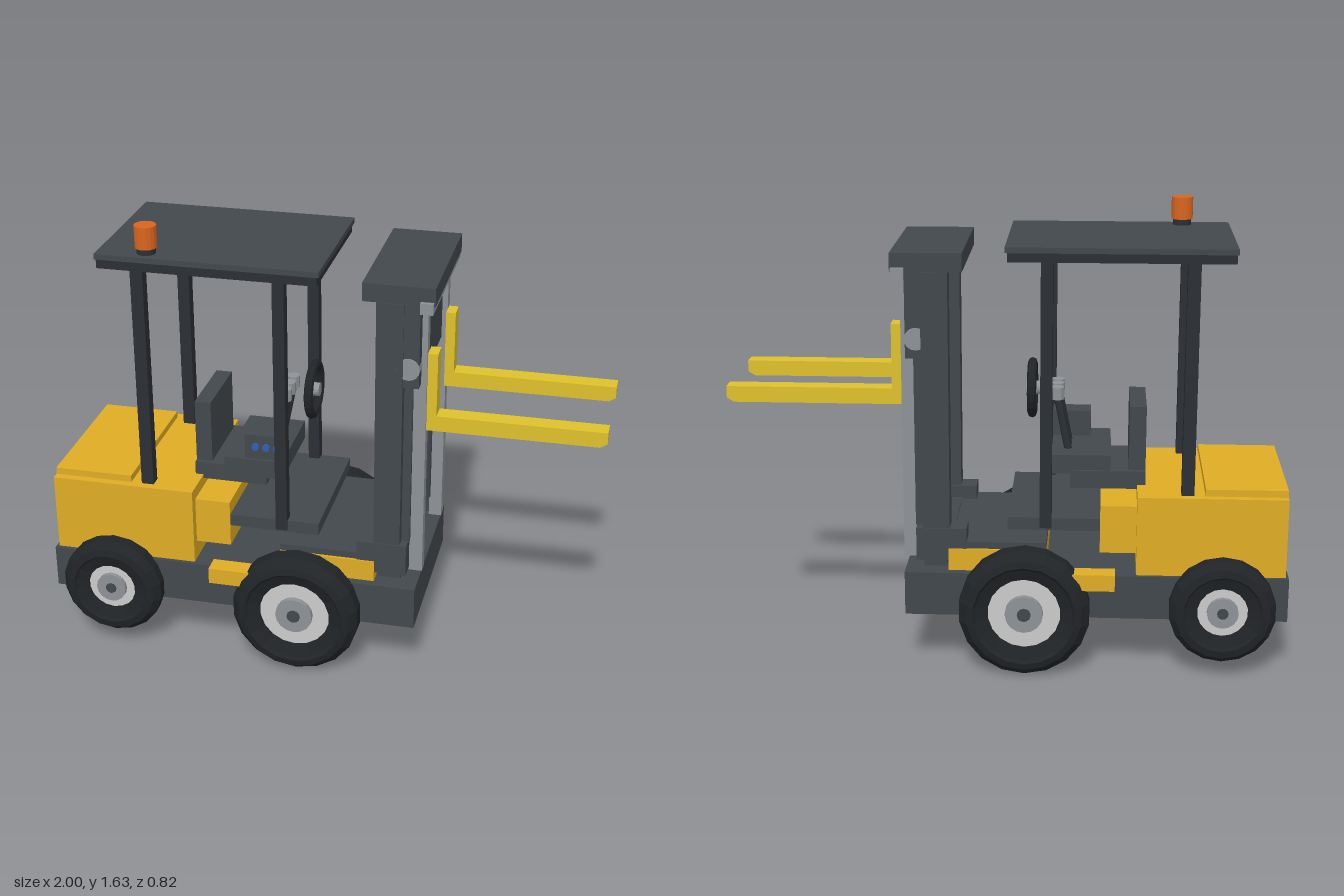
import * as THREE from 'three';

const mat = (color) => new THREE.MeshStandardMaterial({ color, flatShading: true });
const YELLOW = mat(0xdfac24), FORK = mat(0xdfc12c), DARK = mat(0x42484c), FRAME = mat(0x2b2f33);
const RUBBER = mat(0x212427), STEEL = mat(0x8e9397), WHITE = mat(0xffffff);
const ORANGE = mat(0xd9651f), BLUE = mat(0x2f5fb0);

export function createModel() {
  const model = new THREE.Group();
  model.name = 'forklift';

  const add = (name, geometry, material, x = 0, y = 0, z = 0, parent = model) => {
    const mesh = new THREE.Mesh(geometry, material);
    mesh.name = name;
    mesh.position.set(x, y, z);
    parent.add(mesh);
    return mesh;
  };
  // Box given by its limits on each axis
  const box = (name, m, x0, x1, y0, y1, z0, z1) =>
    add(name, new THREE.BoxGeometry(x1 - x0, y1 - y0, z1 - z0), m,
      (x0 + x1) / 2, (y0 + y1) / 2, (z0 + z1) / 2);
  // The same box on both sides
  const pair = (name, m, x0, x1, y0, y1, z0, z1) => {
    box(name + 'Near', m, x0, x1, y0, y1, z0, z1);
    box(name + 'Far', m, x0, x1, y0, y1, -z1, -z0);
  };
  const cyl = (r, h, n = 16) => new THREE.CylinderGeometry(r, r, h, n);
  const cylZ = (r, h, n = 16) => cyl(r, h, n).rotateX(Math.PI / 2);

  // Chassis and bodywork
  box('chassis', DARK, -1, 0.365, 0.2, 0.36, -0.32, 0.32);
  box('counterweight', YELLOW, -0.99, -0.46, 0.36, 0.65, -0.305, 0.305);
  box('engineCover', YELLOW, -0.99, -0.7, 0.65, 0.675, -0.275, 0.275);
  box('seatPedestal', YELLOW, -0.46, -0.33, 0.43, 0.605, -0.27, 0.27);
  box('floorPlate', DARK, -0.33, 0, 0.51, 0.555, -0.265, 0.265);
  box('frontBody', YELLOW, -0.14, 0.21, 0.36, 0.44, -0.29, 0.29);
  box('frontDeck', DARK, -0.14, 0.22, 0.44, 0.465, -0.28, 0.28);
  pair('step', YELLOW, -0.385, -0.235, 0.325, 0.385, 0.31, 0.38);

  // Wheels: chamfered tyre, pale rim disc, steel hub and dark axle cap
  const wheel = (name, x, y, R, rim, hub, z, width, side) => {
    const g = new THREE.Group();
    g.name = name;
    g.position.set(x, y, z * side);
    if (side < 0) g.rotation.y = Math.PI;
    model.add(g);
    const w = width / 2, mid = (R + rim) / 2;
    const profile = [[rim, -w * 0.6], [mid, -w], [R * 0.88, -w * 0.9], [R, -w * 0.4], [R, w * 0.4],
      [R * 0.88, w * 0.9], [mid, w], [mid * 0.95, w * 0.85], [rim, w * 0.6], [rim, -w * 0.6]]
      .map(([r, t]) => new THREE.Vector2(r, t));
    add('tyre', new THREE.LatheGeometry(profile, 18).rotateX(Math.PI / 2), RUBBER, 0, 0, 0, g);
    add('rimDisc', cylZ(rim * 1.02, w * 0.9, 18), WHITE, 0, 0, 0, g);
    add('hub', cylZ(hub, w * 1.5), STEEL, 0, 0, 0, g);
    add('axleCap', cylZ(hub * 0.36, w * 1.65, 12), DARK, 0, 0, 0, g);
  };
  for (const s of [1, -1]) {
    wheel('frontWheel', -0.065, 0.235, 0.235, 0.13, 0.068, 0.343, 0.135, s);
    wheel('rearWheel', -0.767, 0.248, 0.19, 0.09, 0.056, 0.335, 0.11, s);
  }

  // Seat with side console
  box('seatBase', DARK, -0.49, -0.22, 0.635, 0.7, -0.16, 0.16);
  box('backrest', DARK, -0.49, -0.43, 0.7, 0.935, -0.14, 0.14);
  box('controlShelf', DARK, -0.365, -0.15, 0.685, 0.755, -0.15, 0.2);
  box('sideConsole', DARK, -0.29, -0.15, 0.755, 0.85, 0.1, 0.19);
  for (let i = 0; i < 3; i++) add('button', cylZ(0.014, 0.012, 10), BLUE, -0.25 + i * 0.04, 0.805, 0.193);

  // Control levers
  for (const z of [-0.06, 0, 0.06]) {
    add('lever', cyl(0.014, 0.2, 8), FRAME, -0.19, 0.85, z).rotation.z = -0.2;
    add('leverKnob', cyl(0.024, 0.045, 10), STEEL, -0.17, 0.962, z);
  }

  // Steering wheel
  add('steeringWheel', new THREE.TorusGeometry(0.093, 0.017, 8, 24).rotateY(Math.PI / 2), RUBBER, -0.077, 0.965, 0);
  add('steeringHub', cyl(0.025, 0.05).rotateZ(Math.PI / 2), STEEL, -0.08, 0.965, 0);

  // Overhead guard and beacon
  pair('rearPost', FRAME, -0.66, -0.615, 0.65, 1.48, 0.232, 0.275);
  pair('frontPost', FRAME, -0.157, -0.115, 0.52, 1.48, 0.232, 0.275);
  box('roof', FRAME, -0.78, 0, 1.477, 1.51, -0.275, 0.275);
  box('roofPanel', DARK, -0.785, 0.008, 1.51, 1.53, -0.285, 0.28);
  add('beaconBase', cyl(0.033, 0.025), FRAME, -0.612, 1.54, 0.228);
  add('beacon', cyl(0.039, 0.08), ORANGE, -0.612, 1.592, 0.228);

  // Mast
  pair('mastFoot', DARK, 0.145, 0.325, 0.395, 0.515, 0.2, 0.285);
  pair('mastMount', DARK, 0.22, 0.3, 0.36, 0.395, 0.165, 0.25);
  box('lowerCrossbar', DARK, 0.2, 0.3, 0.4, 0.47, -0.2, 0.2);
  pair('mastUpright', DARK, 0.205, 0.3, 0.47, 1.44, 0.21, 0.28);
  pair('mastRail', STEEL, 0.327, 0.375, 0.39, 1.42, 0.187, 0.23);
  pair('railBacking', DARK, 0.295, 0.33, 0.515, 1.42, 0.2, 0.245);
  box('mastPlate', DARK, 0.28, 0.355, 1.135, 1.44, -0.275, 0.275);
  box('mastHeader', DARK, 0.155, 0.405, 1.44, 1.505, -0.275, 0.275);
  box('headerBar', STEEL, 0.355, 0.4, 1.415, 1.455, -0.29, 0.29);
  for (const s of [1, -1]) {
    add('liftCylinder', cyl(0.029, 0.57), DARK, 0.312, 0.785, 0.13 * s);
    add('liftRod', cyl(0.017, 0.08, 12), STEEL, 0.312, 1.1, 0.13 * s);
    add('mastRoller', cylZ(0.04, 0.06), STEEL, 0.318, 1.205, 0.25 * s);
  }

  // Forks: L-shaped side profile with a chamfered tip
  const profile = new THREE.Shape([[0.375, 0.955], [0.975, 0.955], [1, 0.97], [1, 1.012],
    [0.41, 1.012], [0.41, 1.245], [0.375, 1.245]].map(([x, y]) => new THREE.Vector2(x, y)));
  const forkGeo = new THREE.ExtrudeGeometry(profile, { depth: 0.066, bevelEnabled: false });
  add('forkNear', forkGeo, FORK, 0, 0, 0.154);
  add('forkFar', forkGeo, FORK, 0, 0, -0.22);

  return model;
}
